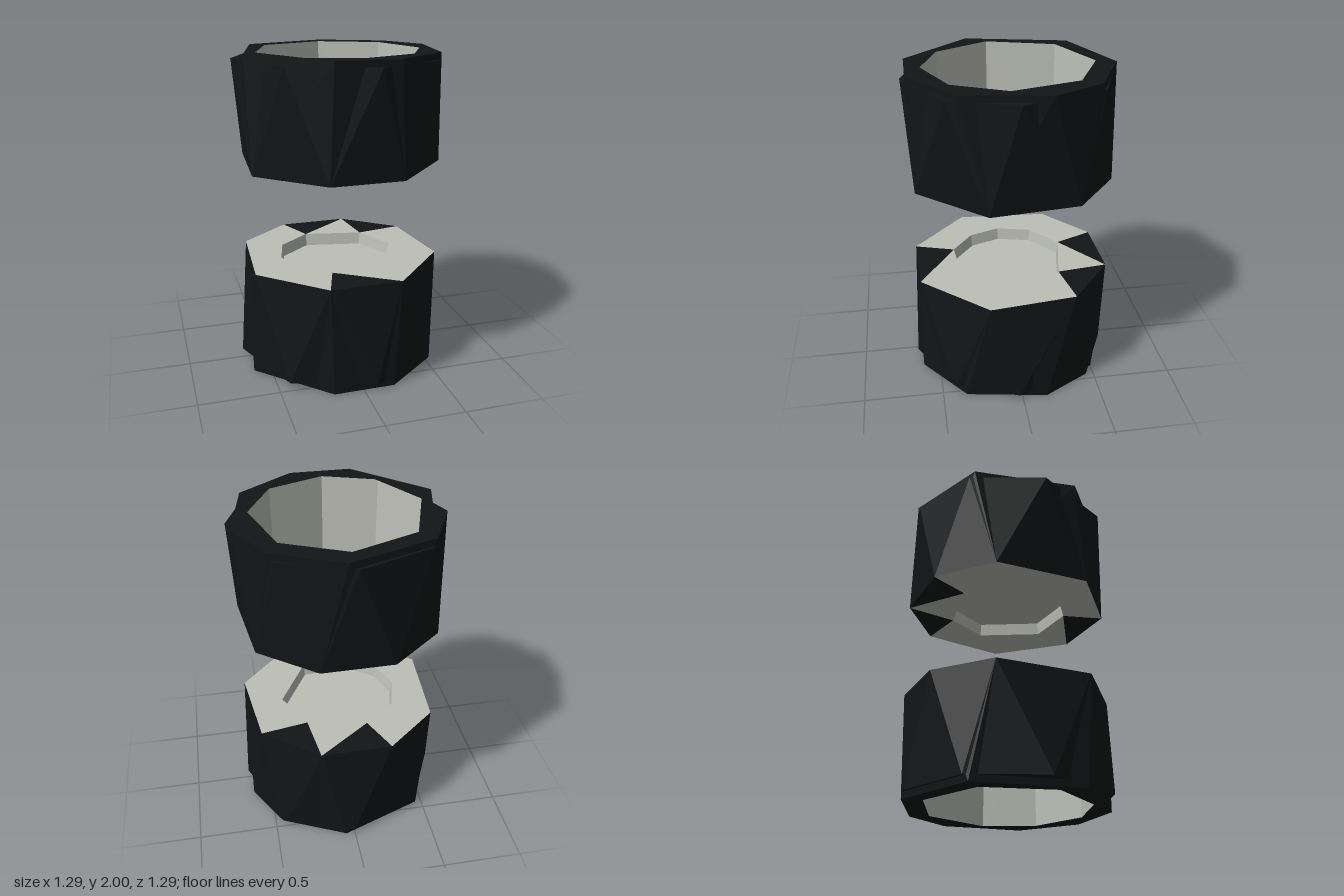
import * as THREE from 'three';

const black = new THREE.MeshStandardMaterial({ color: 0x121416, flatShading: true, side: THREE.DoubleSide });
const grey = new THREE.MeshStandardMaterial({ color: 0xbdc0b7, flatShading: true, side: THREE.DoubleSide });

// Ring of points at given angles (degrees), radius and height
const ring = (angles, r, y) => angles.map((d) => {
  const a = THREE.MathUtils.degToRad(d);
  return [r * Math.cos(a), y, r * Math.sin(a)];
});

// Triangles joining ring A to ring B, alternating between an edge of A and an edge of B
function loft(A, B) {
  return A.flatMap((a, i) => {
    const j = (i + 1) % A.length;
    return [[a, B[i], A[j]], [A[j], B[i], B[j]]];
  });
}

// Fan closing a ring at its centre height
const fan = (A, y) => A.map((a, i) => [a, [0, y, 0], A[(i + 1) % A.length]]);

function mesh(name, tris, material, flip) {
  const pos = tris.flatMap(([a, b, c]) => (flip ? [a, c, b] : [a, b, c]))
    .flatMap(([x, y, z]) => [x, flip ? 2 - y : y, z]);
  const g = new THREE.BufferGeometry();
  g.setAttribute('position', new THREE.Float32BufferAttribute(pos, 3));
  g.computeVertexNormals();
  const m = new THREE.Mesh(g, material);
  m.name = name;
  return m;
}

// One faceted cup: open end at y = 0, plate end at y = 0.69
function cup(name, flip) {
  const boreAngles = [8, 47, 89, 129, 172, 223, 272, 318];
  const endAngles = [346, 33, 72, 107, 162, 224, 275, 315];
  const sleeveAngles = [2, 40, 83, 132, 183, 227, 270, 311];
  const plateAngles = [18, 68, 109, 156, 211, 249, 289, 328];
  const recessAngles = [61, 110, 144, 176, 211, 251, 311, 356];

  const boreFloor = ring(boreAngles, 0.51, 0.58);
  const boreRim = ring(boreAngles, 0.52, 0);
  const end = ring(endAngles, 0.64, 0);
  const sleeveInner = ring(sleeveAngles, 0.56, 0.04);
  const sleeve = ring(sleeveAngles, 0.645, 0.04);
  const plate = ring(plateAngles, 0.643, 0.69);
  const recessRim = ring(recessAngles, 0.38, 0.69);
  const recessFloor = ring(recessAngles, 0.37, 0.61);

  // Plate ring: a few of its outer triangles are black
  const face = loft(plate, recessRim);
  const isDark = (t, i) => [2, 10, 12].includes(i);

  const group = new THREE.Group();
  group.name = name;
  group.add(
    mesh('outerWall', loft(end, plate), black, flip),
    // second eight-sided shell, turned half a step, poking through the first
    mesh('sleeve', [...loft(sleeveInner, sleeve), ...loft(sleeve, plate)], black, flip),
    mesh('rim', loft(boreRim, end), black, flip),
    mesh('innerWall', loft(boreFloor, boreRim), grey, flip),
    mesh('innerFloor', fan([...boreFloor].reverse(), 0.58), grey, flip),
    mesh('plate', face.filter((t, i) => !isDark(t, i)), grey, flip),
    mesh('plateDarkFacets', face.filter(isDark), black, flip),
    mesh('recess', [...loft(recessRim, recessFloor), ...fan(recessFloor, 0.61)], grey, flip),
  );
  return group;
}

export function createModel() {
  const model = new THREE.Group();
  model.name = 'cupPair';
  model.add(cup('lowerCup', false), cup('upperCup', true));
  return model;
}
